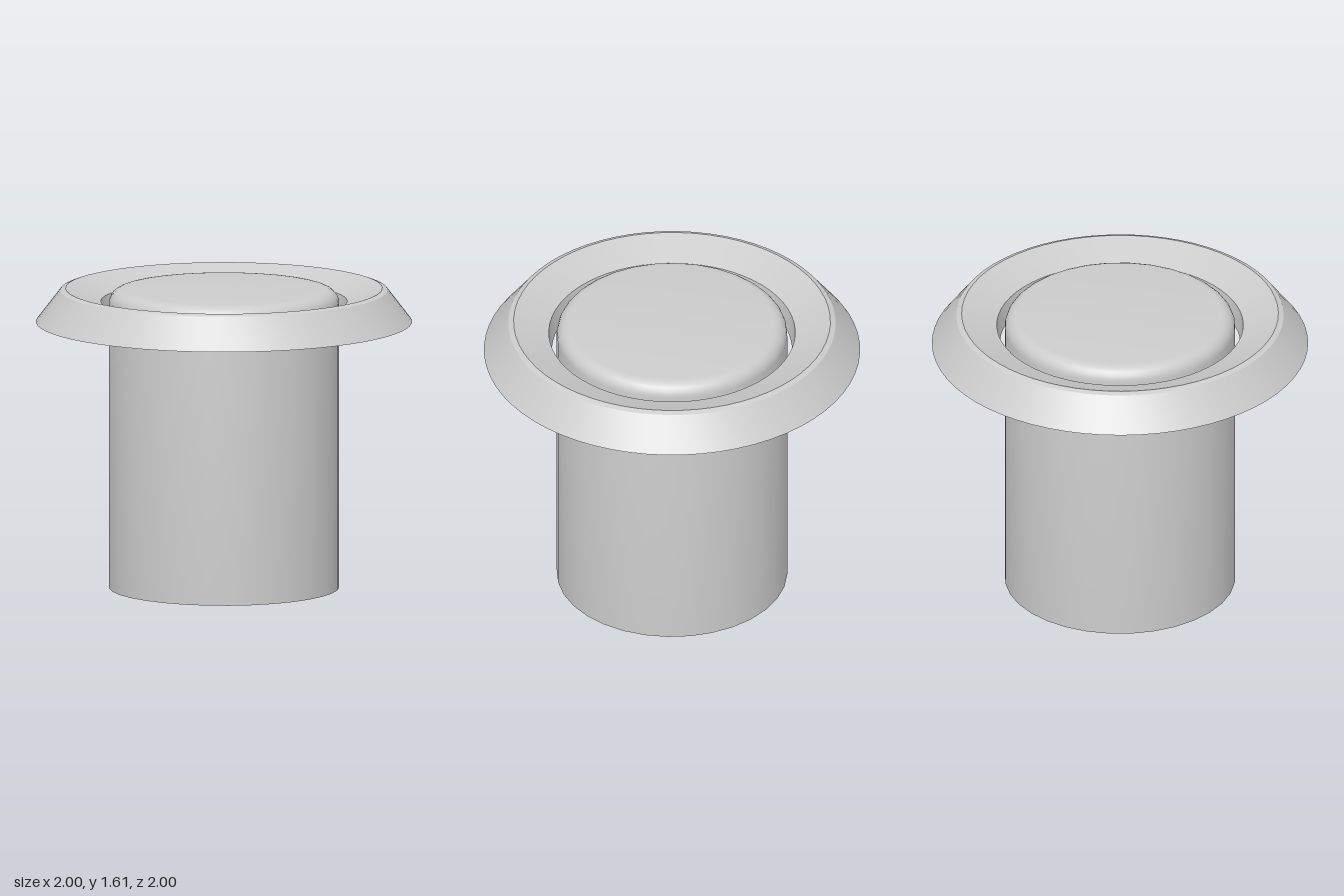
import * as THREE from 'three';
import { toCreasedNormals } from 'three/addons/utils/BufferGeometryUtils.js';

// Spin a [radius, height] profile around y, keeping edges above the crease angle sharp
function turned(name, profile, segments, creaseDegrees, side = THREE.FrontSide) {
  const points = profile.map(([r, y]) => new THREE.Vector2(r, y));
  const geometry = toCreasedNormals(
    new THREE.LatheGeometry(points, segments),
    THREE.MathUtils.degToRad(creaseDegrees)
  );
  const mesh = new THREE.Mesh(geometry, new THREE.MeshStandardMaterial({ color: 0xcccccc, side }));
  mesh.name = name;
  return mesh;
}

export function createModel() {
  const group = new THREE.Group();
  group.name = 'pushButton';

  // Solid plunger: flat closed base, straight wall, rounded top edge
  const radius = 0.613, top = 1.605, fillet = 0.075, steps = 6;
  const plunger = [[0, 0], [radius, 0]];
  for (let i = 0; i <= steps; i++) {
    const a = (i / steps) * Math.PI / 2;
    plunger.push([radius - fillet + fillet * Math.cos(a), top - fillet + fillet * Math.sin(a)]);
  }
  plunger.push([0, top]);
  group.add(turned('plunger', plunger, 32, 40));

  // Thin bezel shell, hollow below: outer skirt, narrow rim, dished face, inner collar
  const bezel = [[1, 1.43], [0.87, 1.6], [0.842, 1.61], [0.655, 1.54], [0.638, 1.43]];
  group.add(turned('bezelRing', bezel, 64, 25, THREE.DoubleSide));

  return group;
}
